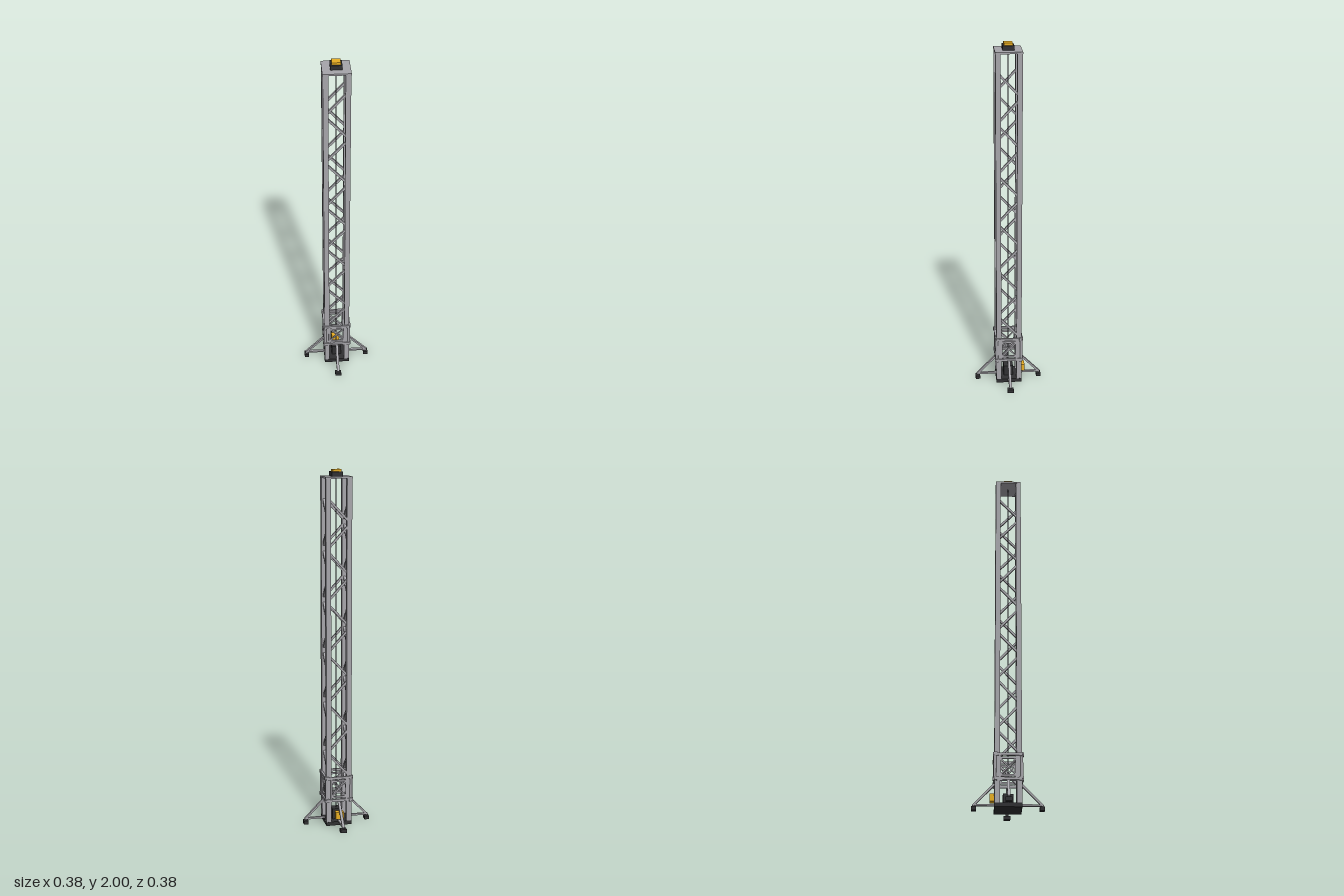
import * as THREE from 'three';

const mat = (name, color) => {
  const m = new THREE.MeshStandardMaterial({ color });
  m.name = name;
  return m;
};

export function createModel() {
  const steel = mat('steel grey', 0xa6a5aa);
  const iron = mat('dark steel', 0x58585d);
  const black = mat('black rubber', 0x303032);
  const amber = mat('amber', 0xe8ae22);
  const tower = new THREE.Group();
  tower.name = 'latticeTower';

  const add = (parent, name, geo, material, x, y, z) => {
    const mesh = new THREE.Mesh(geo, material);
    mesh.name = name;
    mesh.position.set(x, y, z);
    parent.add(mesh);
    return mesh;
  };
  const box = (parent, name, material, w, h, d, x, y, z) =>
    add(parent, name, new THREE.BoxGeometry(w, h, d), material, x, y, z);

  // Bar running between two points in its parent's own space
  const up = new THREE.Vector3(0, 1, 0);
  const bar = (parent, name, material, a, b, w, d = w) => {
    const from = new THREE.Vector3(...a), to = new THREE.Vector3(...b);
    const mid = from.clone().add(to).multiplyScalar(0.5);
    const mesh = box(parent, name, material, w, d, from.distanceTo(to), mid.x, mid.y, mid.z);
    mesh.quaternion.setFromRotationMatrix(new THREE.Matrix4().lookAt(to, from, up));
    return mesh;
  };

  // Base plate, inner drive housing and rear control box
  box(tower, 'basePlate', black, 0.145, 0.022, 0.145, 0, 0.013, 0);
  box(tower, 'driveHousing', black, 0.054, 0.06, 0.054, 0, 0.054, 0);
  box(tower, 'controlBox', amber, 0.045, 0.042, 0.03, 0, 0.066, -0.08);

  // Four corner posts
  const P = 0.058;
  for (const x of [-P, P]) for (const z of [-P, P])
    box(tower, 'cornerPost', steel, 0.028, 1.935, 0.028, x, 0.02 + 1.935 / 2, z);

  // Zigzag bracing: front and back match, the two sides are opposed
  const pitch = 0.1427, rise = 0.063;
  for (let k = 0; k < 12; k++) {
    const y = 1.785 - pitch * k;
    const s = k % 2 ? -rise : rise;
    for (const side of [-1, 1]) {
      bar(tower, 'faceBrace', steel, [-P, y - s, side * P], [P, y + s, side * P], 0.012);
      bar(tower, 'sideBrace', steel, [side * P, y - s * side, -P], [side * P, y + s * side, P], 0.012);
    }
  }

  // Central cable
  add(tower, 'centralCable', new THREE.CylinderGeometry(0.003, 0.003, 1.9, 8), iron, 0, 1.01, 0);

  // Collar frame, with the same panel on each face
  for (let i = 0; i < 4; i++) {
    const panel = new THREE.Group();
    panel.name = 'collarPanel';
    panel.rotation.y = i * Math.PI / 2;
    tower.add(panel);
    for (const y of [0.152, 0.284]) {
      box(panel, 'collarRail', steel, 0.14, 0.014, 0.012, 0, y, 0.073);
      for (const x of [-0.066, 0.066])
        box(panel, 'collarBracket', steel, 0.016, 0.02, 0.014, x, y, 0.074);
    }
    for (const y of [0.171, 0.265])
      box(panel, 'innerRail', steel, 0.094, 0.011, 0.008, 0, y, 0.07);
    for (const x of [-0.043, 0.043])
      box(panel, 'innerUpright', steel, 0.011, 0.12, 0.008, x, 0.218, 0.071);
    for (const s of [-1, 1])
      bar(panel, 'collarBrace', steel, [-0.043, 0.218 - s * 0.047, 0.068], [0.043, 0.218 + s * 0.047, 0.068], 0.007);
    add(panel, 'collarPost', new THREE.CylinderGeometry(0.008, 0.008, 0.13, 10), steel, 0.07, 0.218, 0.07);
  }

  // Four outrigger legs
  for (let i = 0; i < 4; i++) {
    const leg = new THREE.Group();
    leg.name = 'outrigger';
    leg.rotation.y = i * Math.PI / 2;
    tower.add(leg);
    box(leg, 'foot', black, 0.035, 0.02, 0.026, 0, 0.01, 0.178);
    bar(leg, 'legStrut', steel, [0, 0.026, 0.183], [0, 0.147, 0.066], 0.015, 0.011);
    box(leg, 'legTie', steel, 0.014, 0.01, 0.11, 0, 0.03, 0.122);
  }
  // Ring that carries the strut heads
  for (const s of [-1, 1]) {
    box(tower, 'strutRail', steel, 0.116, 0.012, 0.012, 0, 0.148, s * 0.066);
    box(tower, 'strutRail', steel, 0.012, 0.012, 0.116, s * 0.066, 0.148, 0);
  }

  // Top plate with beacon
  box(tower, 'topPlate', steel, 0.148, 0.01, 0.146, 0, 1.958, 0);
  box(tower, 'beaconBase', black, 0.062, 0.024, 0.062, 0, 1.975, 0);
  box(tower, 'beacon', amber, 0.046, 0.014, 0.046, 0, 1.993, 0);

  return tower;
}
